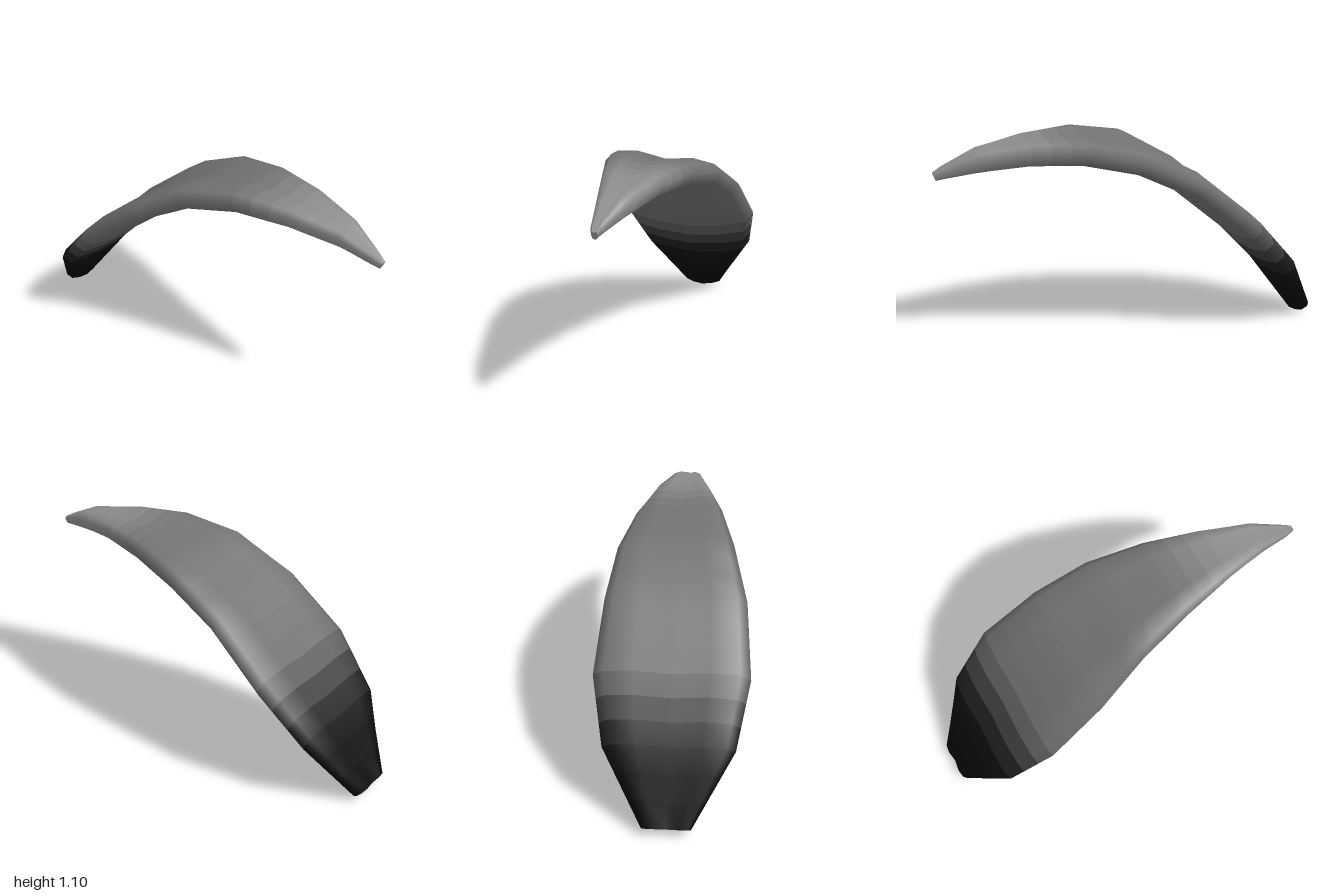
import * as THREE from 'three';

// Stations from base to tip: upper z, y; lower z, y; edge x on the -x and +x side; roll; grey value
const stations = [
  [-1.0, 0.06, -0.93, 0.0, -0.115, 0.115, 0, 0.015],
  [-0.8, 0.39, -0.74, 0.27, -0.31, 0.31, 0, 0.06],
  [-0.57, 0.64, -0.52, 0.5, -0.37, 0.37, 0, 0.42],
  [-0.28, 0.88, -0.22, 0.75, -0.342, 0.342, 0.02, 0.45],
  [0.0, 1.035, 0.03, 0.88, -0.27, 0.305, 0.12, 0.45],
  [0.28, 1.092, 0.3, 0.94, -0.2, 0.235, 0.1, 0.45],
  [0.55, 1.087, 0.55, 0.945, -0.132, 0.155, 0.03, 0.54],
  [0.79, 1.045, 0.8, 0.925, -0.075, 0.08, 0, 0.56],
  [0.96, 0.965, 0.95, 0.905, -0.045, 0.012, 0, 0.56],
  [1.0, 0.94, 0.985, 0.9, -0.032, -0.003, 0, 0.56],
];

// Cross-section: position across the width and depth below the upper side
const profile = [
  [1, 0.32], [0.87, 0.1], [0.5, 0.01], [0, 0.14], [-0.5, 0.01], [-0.87, 0.1],
  [-1, 0.32], [-0.88, 0.7], [-0.5, 0.9], [0, 1], [0.5, 0.9], [0.88, 0.7],
];
const SUB = 3;
const N = profile.length;

function ringPoints([tz, ty, bz, by, xl, xr, roll]) {
  return profile.map(([u, d]) => {
    const depth = d + roll * u * (d > 0.95 ? 0 : 1);
    return new THREE.Vector3(
      (xl + xr) / 2 + (u * (xr - xl)) / 2,
      ty + (by - ty) * depth,
      tz + (bz - tz) * depth,
    );
  });
}

function greyMaterial(value) {
  return new THREE.MeshStandardMaterial({
    color: new THREE.Color().setRGB(value, value, value, THREE.SRGBColorSpace),
  });
}

// Flat fan closing one end
function makeCap(points, flip, value, name) {
  const centre = points.reduce((s, p) => s.add(p), new THREE.Vector3()).divideScalar(N);
  const geometry = new THREE.BufferGeometry().setFromPoints([...points, centre]);
  const index = [];
  for (let j = 0; j < N; j++) {
    const k = (j + 1) % N;
    index.push(...(flip ? [k, j, N] : [j, k, N]));
  }
  geometry.setIndex(index);
  geometry.computeVertexNormals();
  const cap = new THREE.Mesh(geometry, greyMaterial(value));
  cap.name = name;
  return cap;
}

export function createModel() {
  const model = new THREE.Group();
  model.name = 'curvedLeaf';

  // Rings along the blade, with in-between rings for the colour fade
  const rows = [];
  for (let i = 0; i < stations.length - 1; i++) {
    for (let s = 0; s < SUB; s++) {
      rows.push(stations[i].map((v, c) => THREE.MathUtils.lerp(v, stations[i + 1][c], s / SUB)));
    }
  }
  rows.push(stations[stations.length - 1]);
  const rings = rows.map(ringPoints);

  // Faces of each band between two rings
  const bands = [];
  for (let i = 0; i < rings.length - 1; i++) {
    const index = [];
    for (let j = 0; j < N; j++) {
      const k = (j + 1) % N;
      const a = i * N + j, b = i * N + k;
      index.push(a, b, a + N, b, b + N, a + N);
    }
    bands.push(index);
  }

  // Normals come from the whole skin so that the bands join smoothly
  const skin = new THREE.BufferGeometry().setFromPoints(rings.flat());
  skin.setIndex(bands.flat());
  skin.computeVertexNormals();

  // Blade in bands, dark at the base and paler toward the tip
  const blade = new THREE.Group();
  blade.name = 'blade';
  bands.forEach((index, i) => {
    const geometry = new THREE.BufferGeometry();
    geometry.setAttribute('position', skin.attributes.position);
    geometry.setAttribute('normal', skin.attributes.normal);
    geometry.setIndex(index);
    const band = new THREE.Mesh(geometry, greyMaterial((rows[i][7] + rows[i + 1][7]) / 2));
    band.name = 'bladeBand' + (i + 1);
    blade.add(band);
  });
  model.add(blade);

  // Closed ends
  model.add(makeCap(rings[0], true, stations[0][7], 'baseEnd'));
  model.add(makeCap(rings[rings.length - 1], false, stations[stations.length - 1][7], 'tipEnd'));
  return model;
}
